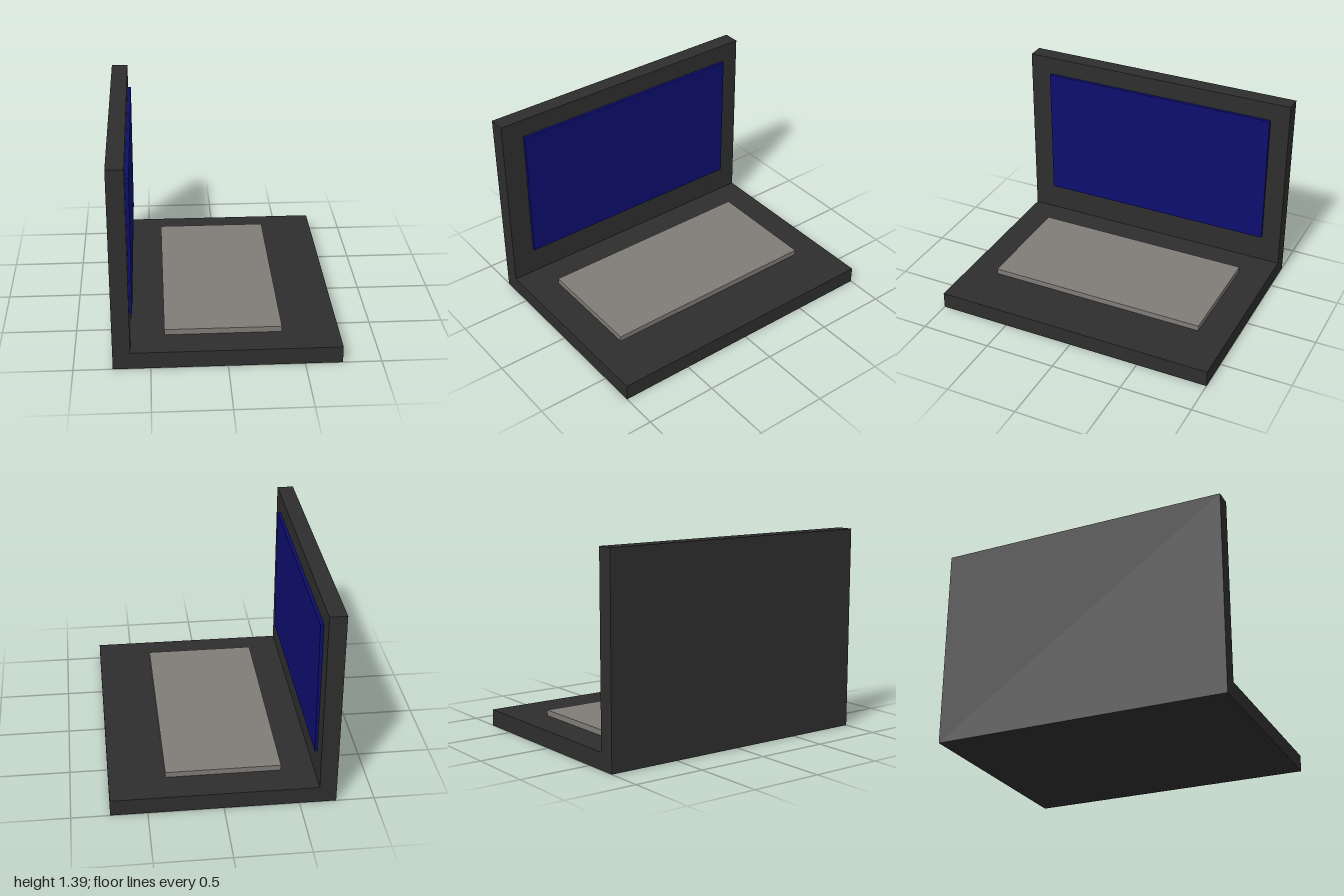
import * as THREE from 'three';

const material = (name, color) => {
  const m = new THREE.MeshStandardMaterial({ color });
  m.name = name;
  return m;
};

// Extrudes an x-y side profile from z0 to z1
function slab(name, points, z0, z1, mat) {
  const shape = new THREE.Shape(points.map(([x, y]) => new THREE.Vector2(x, y)));
  const geometry = new THREE.ExtrudeGeometry(shape, { depth: z1 - z0, bevelEnabled: false });
  geometry.translate(0, 0, z0);
  const mesh = new THREE.Mesh(geometry, mat);
  mesh.name = name;
  return mesh;
}

export function createModel() {
  const casing = material('charcoal casing', 0x2e2e2e);
  const blue = material('screen blue', 0x0d0d70);
  const grey = material('keyboard grey', 0x807b77);

  const laptop = new THREE.Group();
  laptop.name = 'laptop';

  laptop.add(
    // L-shaped body: base and upright lid in one piece
    slab('body', [
      [-0.745, 0], [0.745, 0], [0.745, 0.115],
      [-0.63, 0.115], [-0.63, 1.39], [-0.745, 1.39],
    ], -1, 1, casing),
    // Display panel, leaning very slightly off the lid
    slab('screen', [
      [-0.64, 0.31], [-0.613, 0.31], [-0.607, 1.262], [-0.64, 1.262],
    ], -0.865, 0.84, blue),
    // Raised keyboard plate
    slab('keyboard', [
      [-0.408, 0.105], [0.367, 0.105], [0.367, 0.154], [-0.408, 0.154],
    ], -0.782, 0.782, grey),
  );
  return laptop;
}
